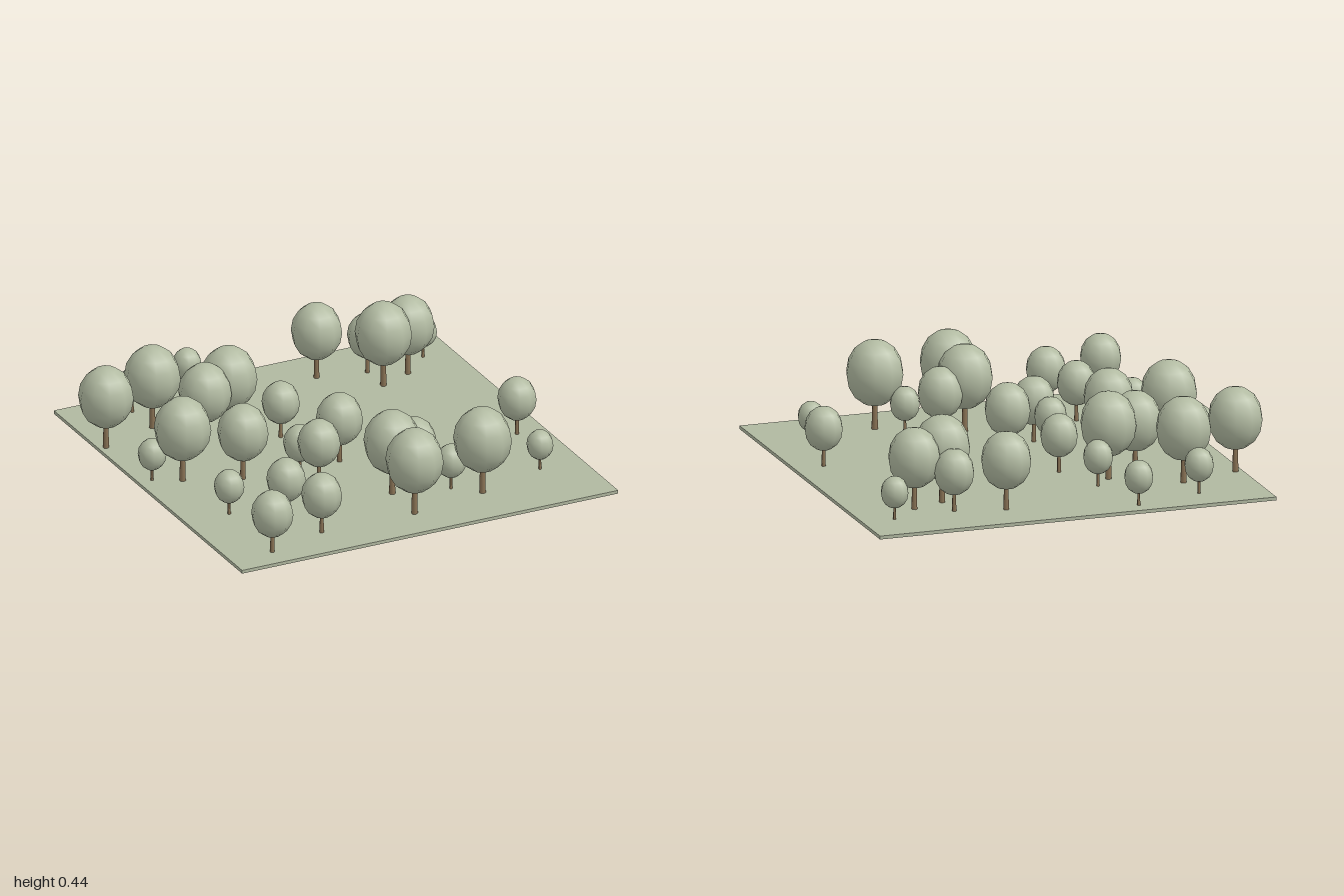
import * as THREE from 'three';

const GROUND_TOP = 0.016;

// Each tree: x, z, crown radius
const TREES = [
  [-0.275, -0.87, 0.068], [-0.597, -0.78, 0.069], [-0.59, -0.59, 0.13],
  [-0.872, -0.497, 0.128], [-0.206, -0.513, 0.07], [-0.44, -0.357, 0.123],
  [-0.29, -0.417, 0.132], [-0.115, -0.24, 0.088], [-0.842, -0.09, 0.066],
  [-0.72, -0.025, 0.132], [-0.467, 0.08, 0.118], [-0.21, 0.143, 0.077],
  [-0.173, 0.264, 0.099], [0.008, 0.11, 0.108], [-0.69, 0.386, 0.07],
  [-0.467, 0.518, 0.091], [-0.403, 0.75, 0.094], [-0.697, 0.837, 0.097],
  [0.067, 0.525, 0.132], [0.2, 0.48, 0.106], [0.33, 0.595, 0.07],
  [0.064, 0.757, 0.134], [0.438, 0.698, 0.135], [0.857, 0.21, 0.09],
  [0.783, 0.59, 0.062], [0.314, -0.734, 0.118], [0.545, -0.68, 0.094],
  [0.548, -0.525, 0.132], [0.704, -0.589, 0.123], [0.844, -0.716, 0.065],
];

export function createModel() {
  const material = (name, color) => {
    const m = new THREE.MeshStandardMaterial({ color });
    m.name = name;
    return m;
  };
  const grass = material('grass', 0xb0b8a0);
  const foliage = material('foliage', 0xb2bba2);
  const bark = material('bark', 0x8a7355);

  const model = new THREE.Group();
  model.name = 'grove';

  // Thin square slab the trees stand on
  const ground = new THREE.Mesh(new THREE.BoxGeometry(1.906, GROUND_TOP, 1.906), grass);
  ground.name = 'ground';
  ground.position.set(0.045, GROUND_TOP / 2, 0);
  model.add(ground);

  // Unit tree: crown radius 1, scaled per tree
  const crownGeometry = new THREE.SphereGeometry(1, 10, 8);
  crownGeometry.scale(1, 1.15, 1).translate(0, 1.97, 0);
  const trunkGeometry = new THREE.CylinderGeometry(0.08, 0.11, 1.2, 6);
  trunkGeometry.translate(0, 0.6, 0);

  for (const [x, z, radius] of TREES) {
    const tree = new THREE.Group();
    tree.name = 'tree';
    const crown = new THREE.Mesh(crownGeometry, foliage);
    crown.name = 'crown';
    const trunk = new THREE.Mesh(trunkGeometry, bark);
    trunk.name = 'trunk';
    tree.add(crown, trunk);
    tree.position.set(x, GROUND_TOP, z);
    tree.scale.setScalar(radius);
    model.add(tree);
  }
  return model;
}
